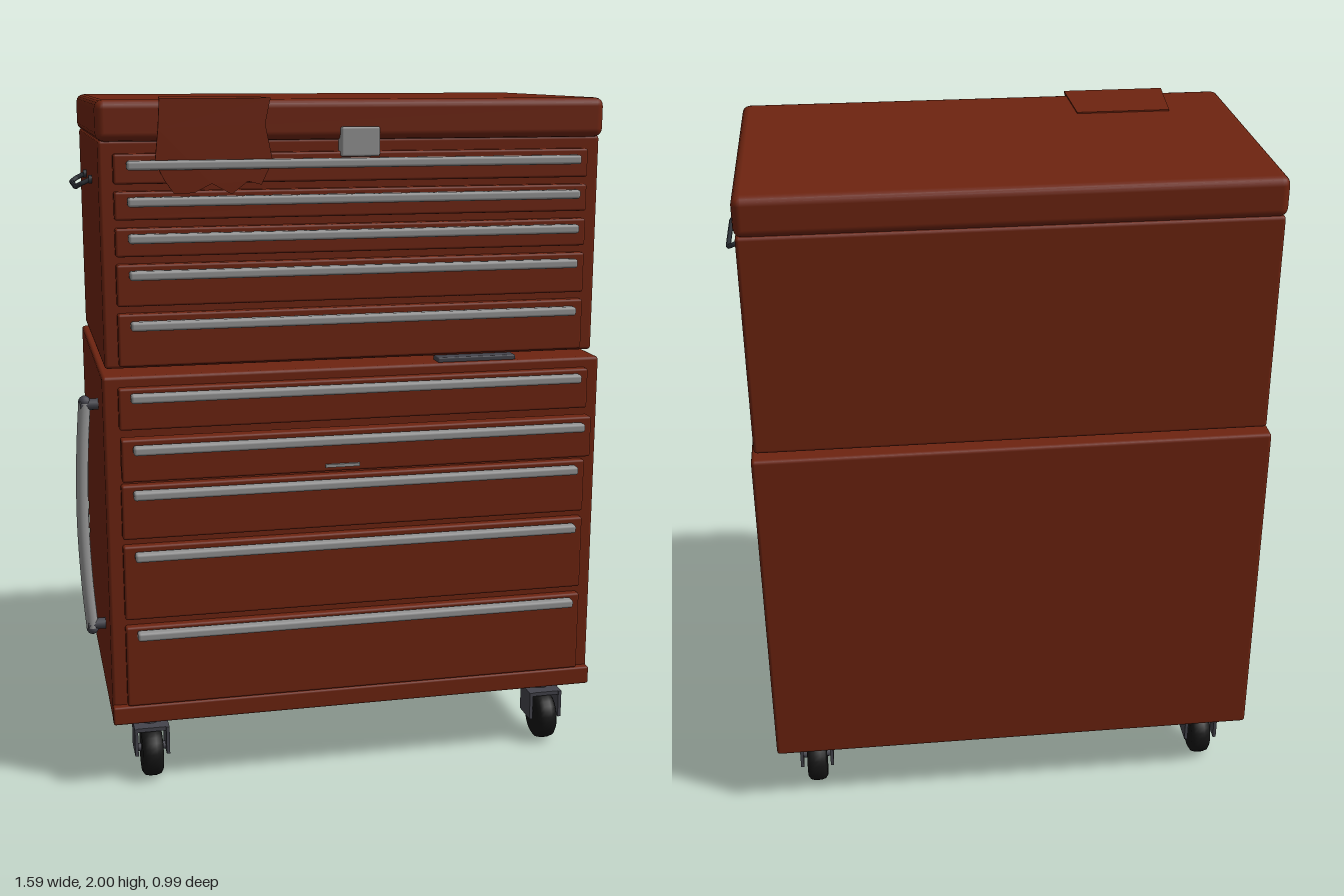
import * as THREE from 'three';
import { RoundedBoxGeometry } from 'three/addons/geometries/RoundedBoxGeometry.js';

const mat = (name, color) => new THREE.MeshStandardMaterial({ name, color });

export function createModel() {
  const red = mat('red paint', 0x6e2410);
  const steel = mat('brushed steel', 0x949494);
  const dark = mat('dark metal', 0x44444c);
  const grip = mat('side handle metal', 0x2c3036);
  const rubber = mat('black rubber', 0x141414);
  const cloth = mat('rag cloth', 0x6e2410);
  cloth.side = THREE.DoubleSide;

  const model = new THREE.Group();
  model.name = 'toolChest';
  const cx = 0.018; // middle of the cabinets

  const add = (name, geometry, material, parent = model) => {
    const mesh = new THREE.Mesh(geometry, material);
    mesh.name = name;
    parent.add(mesh);
    return mesh;
  };
  // Box given by its limits, with softly rounded edges when r > 0
  const box = (name, material, [x0, x1], [y0, y1], [z0, z1], r = 0, parent = model) => {
    const size = [x1 - x0, y1 - y0, z1 - z0];
    const g = r ? new RoundedBoxGeometry(...size, 2, r) : new THREE.BoxGeometry(...size);
    const mesh = add(name, g, material, parent);
    mesh.position.set((x0 + x1) / 2, (y0 + y1) / 2, (z0 + z1) / 2);
    return mesh;
  };

  // Cabinets and lid
  box('lowerCabinet', red, [-0.718, 0.755], [0.205, 1.24], [-0.492, 0.397], 0.01);
  box('lowerLip', red, [-0.718, 0.755], [0.205, 0.26], [0.38, 0.42], 0.006);
  box('upperCabinet', red, [-0.706, 0.746], [1.254, 1.888], [-0.474, 0.355], 0.01);
  box('lid', red, [-0.712, 0.75], [1.884, 1.996], [-0.478, 0.38], 0.024);
  box('lidLatch', steel, [-0.034, 0.077], [1.838, 1.92], [0.35, 0.395], 0.006);

  // Drawers: [bottom, top, pull height, how far it is pulled out]
  const drawers = (name, rows, x, pullX, z) => rows.forEach(([y0, y1, py, out]) => {
    const drawer = new THREE.Group();
    drawer.name = name;
    model.add(drawer);
    const f = z + out;
    box('drawerFront', red, x, [y0, y1], [f - 0.02, f + 0.025], 0.007, drawer);
    box('drawerPull', steel, pullX, [py - 0.013, py + 0.013], [f + 0.026, f + 0.059], 0.008, drawer);
    box('pullRail', dark, [pullX[0] + 0.02, pullX[1] - 0.02], [py - 0.006, py + 0.006],
      [f + 0.02, f + 0.03], 0, drawer);
    if (out) box('drawerTray', red, [x[0] + 0.025, x[1] - 0.025], [y0 + 0.01, y1 - 0.035],
      [z - 0.05, f], 0, drawer);
  });
  drawers('upperDrawer', [
    [1.77, 1.852, 1.822, 0], [1.672, 1.75, 1.723, 0], [1.571, 1.65, 1.623, 0],
    [1.433, 1.55, 1.522, 0], [1.263, 1.412, 1.381, 0],
  ], [-0.667, 0.703], [-0.633, 0.672], 0.356);
  drawers('lowerDrawer', [
    [1.09, 1.21, 1.185, 0], [0.95, 1.073, 1.046, 0.04], [0.77, 0.93, 0.905, 0],
    [0.528, 0.75, 0.723, 0], [0.262, 0.506, 0.485, 0],
  ], [-0.675, 0.713], [-0.643, 0.682], 0.397);

  // Small metal pieces on the open drawer and between the cabinets
  box('drawerTag', steel, [-0.095, 0.005], [0.964, 0.973], [0.46, 0.47]);
  box('looseTool', dark, [0.26, 0.497], [1.238, 1.254], [0.33, 0.385], 0.004);

  // Rag lying on the lid and hanging over its front edge
  const slab = (points, depth) => new THREE.ExtrudeGeometry(
    new THREE.Shape(points.map(p => new THREE.Vector2(...p))), { depth, bevelEnabled: false });
  add('ragFront', slab([
    [-0.54, 2], [-0.235, 2], [-0.25, 1.93], [-0.23, 1.83], [-0.262, 1.765], [-0.3, 1.775],
    [-0.345, 1.74], [-0.4, 1.77], [-0.45, 1.745], [-0.505, 1.745], [-0.53, 1.78],
    [-0.555, 1.83], [-0.545, 1.92],
  ], 0.006), cloth).position.z = 0.394;
  const ragTop = add('ragTop', slab([
    [-0.54, -0.4], [-0.235, -0.4], [-0.24, -0.165], [-0.517, -0.165],
  ], 0.006), cloth);
  ragTop.rotation.x = -Math.PI / 2;
  ragTop.position.y = 1.994;

  // Side carrying handles
  for (const side of [-1, 1]) {
    const x = d => cx + side * (0.725 + d);
    const path = new THREE.CurvePath();
    const pts = [[0, 1.766, 0.08], [0.03, 1.752, 0.08], [0.046, 1.742, 0.068],
      [0.046, 1.742, -0.148], [0.03, 1.752, -0.16], [0, 1.766, -0.16]]
      .map(([d, y, z]) => new THREE.Vector3(x(d), y, z));
    for (let i = 1; i < pts.length; i++) path.add(new THREE.LineCurve3(pts[i - 1], pts[i]));
    add('sideHandle', new THREE.TubeGeometry(path, 48, 0.007, 8), grip);
    for (const z of [0.08, -0.16]) {
      const mount = add('handleMount', new THREE.CylinderGeometry(0.012, 0.012, 0.012, 12), grip);
      mount.rotation.z = Math.PI / 2;
      mount.position.set(x(0.003), 1.764, z);
    }
  }

  // Upright push handle, bowed outward, on two mounts
  const bow = new THREE.CatmullRomCurve3([
    [-0.757, 0.43], [-0.768, 0.58], [-0.774, 0.78], [-0.768, 0.98], [-0.757, 1.13],
  ].map(([x, y]) => new THREE.Vector3(x, y, 0.198)));
  add('pushHandle', new THREE.TubeGeometry(bow, 24, 0.018, 12), steel);
  for (const y of [0.443, 1.122]) {
    const mount = add('pushHandleMount', new THREE.CylinderGeometry(0.017, 0.017, 0.06, 12), dark);
    mount.rotation.z = Math.PI / 2;
    mount.position.set(-0.74, y, 0.198);
  }
  for (const y of [0.43, 1.13]) {
    const cap = add('pushHandleCap', new THREE.SphereGeometry(0.0185, 12, 8), dark);
    cap.position.set(-0.757, y, 0.198);
  }

  // Casters: plate, stem, fork and wheel
  for (const x of [-0.602, 0.638]) for (const z of [0.327, -0.354]) {
    const caster = new THREE.Group();
    caster.name = 'caster';
    caster.position.set(x, 0, z);
    model.add(caster);
    box('casterPlate', dark, [-0.08, 0.08], [0.19, 0.206], [-0.102, 0.055], 0, caster);
    const stem = add('casterStem', new THREE.CylinderGeometry(0.026, 0.026, 0.045, 16), dark, caster);
    stem.position.set(0, 0.172, -0.024);
    box('forkBridge', dark, [-0.052, 0.052], [0.15, 0.162], [-0.05, 0.035], 0, caster);
    for (const s of [-1, 1])
      box('forkArm', dark, [s * 0.047 - 0.005, s * 0.047 + 0.005], [0.076, 0.162], [-0.05, 0.038], 0, caster);
    const wheel = add('wheel', new THREE.LatheGeometry([
      [0, -0.031], [0.06, -0.031], [0.071, -0.024], [0.075, -0.01],
      [0.075, 0.01], [0.071, 0.024], [0.06, 0.031], [0, 0.031],
    ].map(p => new THREE.Vector2(...p)), 28), rubber, caster);
    wheel.rotation.z = Math.PI / 2;
    wheel.position.y = 0.075;
    const axle = add('axle', new THREE.CylinderGeometry(0.012, 0.012, 0.1, 12), dark, caster);
    axle.rotation.z = Math.PI / 2;
    axle.position.y = 0.088;
  }
  return model;
}
